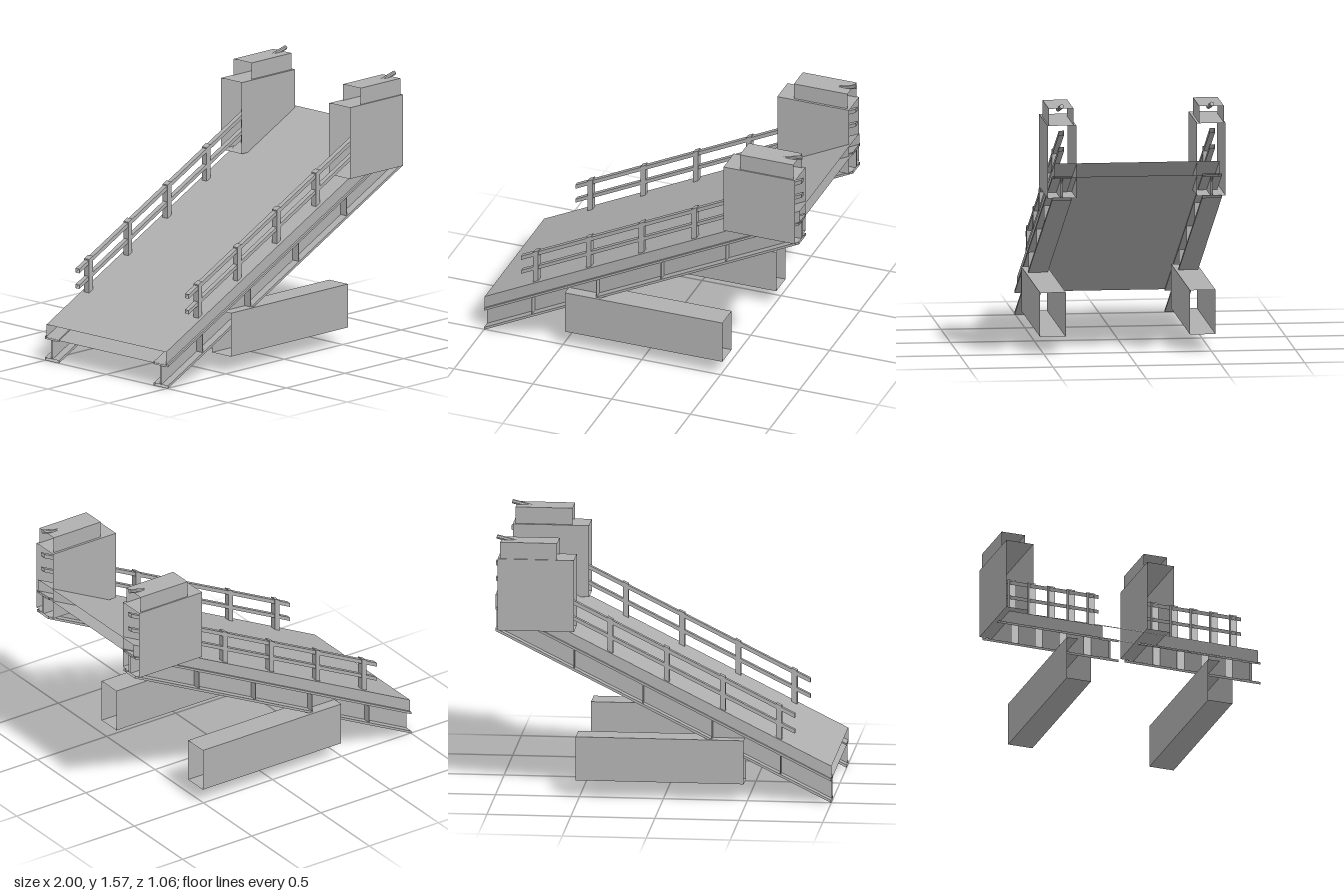
import * as THREE from 'three';

const SLOPE = 0.5;

export function createModel() {
  const model = new THREE.Group();
  model.name = 'inclinedGangway';
  const grey = new THREE.MeshStandardMaterial({ color: 0xb0b0b0, side: THREE.DoubleSide });
  grey.name = 'plainGrey';

  // Box between two corners; sloped parts are sheared so that y rises with x.
  // Open parts lose their two end faces and become thin-walled sleeves.
  function part(parent, name, [x0, x1], [y0, y1], [z0, z1], { sloped = true, open = true } = {}) {
    const g = new THREE.BoxGeometry(x1 - x0, y1 - y0, z1 - z0);
    if (open) {
      g.setIndex(Array.from(g.index.array).slice(12));
      g.clearGroups();
    }
    g.translate((x0 + x1) / 2, (y0 + y1) / 2, (z0 + z1) / 2);
    if (sloped) {
      const p = g.attributes.position;
      for (let i = 0; i < p.count; i++) p.setY(i, p.getY(i) + SLOPE * p.getX(i));
      g.computeVertexNormals();
    }
    const mesh = new THREE.Mesh(g, grey);
    mesh.name = name;
    parent.add(mesh);
  }

  // Hollow walkway deck
  part(model, 'deck', [-1, 1], [0.638, 0.72], [-0.492, 0.492]);

  for (const side of [1, -1]) {
    const group = new THREE.Group();
    group.name = side > 0 ? 'frontSide' : 'backSide';
    model.add(group);
    const span = (a, b) => (side > 0 ? [a, b] : [-b, -a]);
    const level = { sloped: false };

    // I-beam girder with stiffener plates
    part(group, 'girderTopFlange', [-1, 1], [0.63, 0.645], span(0.39, 0.506));
    part(group, 'girderBottomFlange', [-1, 1], [0.5, 0.516], span(0.39, 0.506));
    part(group, 'girderWeb', [-1, 1], [0.516, 0.63], span(0.442, 0.454));
    for (let i = 0; i < 4; i++) {
      const x = -0.7 + 0.41 * i;
      part(group, 'stiffener', [x, x + 0.004], [0.516, 0.63], span(0.395, 0.501), { open: false });
    }

    // Railing
    part(group, 'topRail', [-0.78, 1], [0.892, 0.917], span(0.434, 0.466));
    part(group, 'lowerRail', [-0.78, 1], [0.797, 0.82], span(0.434, 0.466));
    for (let i = 0; i < 5; i++) {
      const x = -0.685 + 0.335 * i;
      part(group, 'railPost', [x - 0.016, x + 0.016], [0.72, 0.924], span(0.43, 0.47), { open: false });
    }

    // Upper housing and its cap, open at both ends
    part(group, 'upperHousing', [0.53, 0.985], [1.01, 1.445], span(0.36, 0.53), level);
    part(group, 'housingCap', [0.63, 0.97], [1.445, 1.545], span(0.375, 0.522), level);

    // Tilted rod poking out of the cap
    const rodGeometry = new THREE.CylinderGeometry(0.013, 0.013, 0.2, 8).toNonIndexed();
    rodGeometry.computeVertexNormals();
    const rod = new THREE.Mesh(rodGeometry, grey);
    rod.name = 'tiltedRod';
    rod.position.set(0.9, 1.538, side * 0.448);
    rod.rotation.z = -Math.PI / 2 + Math.atan(0.25);
    group.add(rod);

    // Lower base sleeve, open at both ends
    part(group, 'baseSleeve', [-0.48, 0.52], [0.105, 0.37], span(0.37, 0.523), level);
  }
  return model;
}
